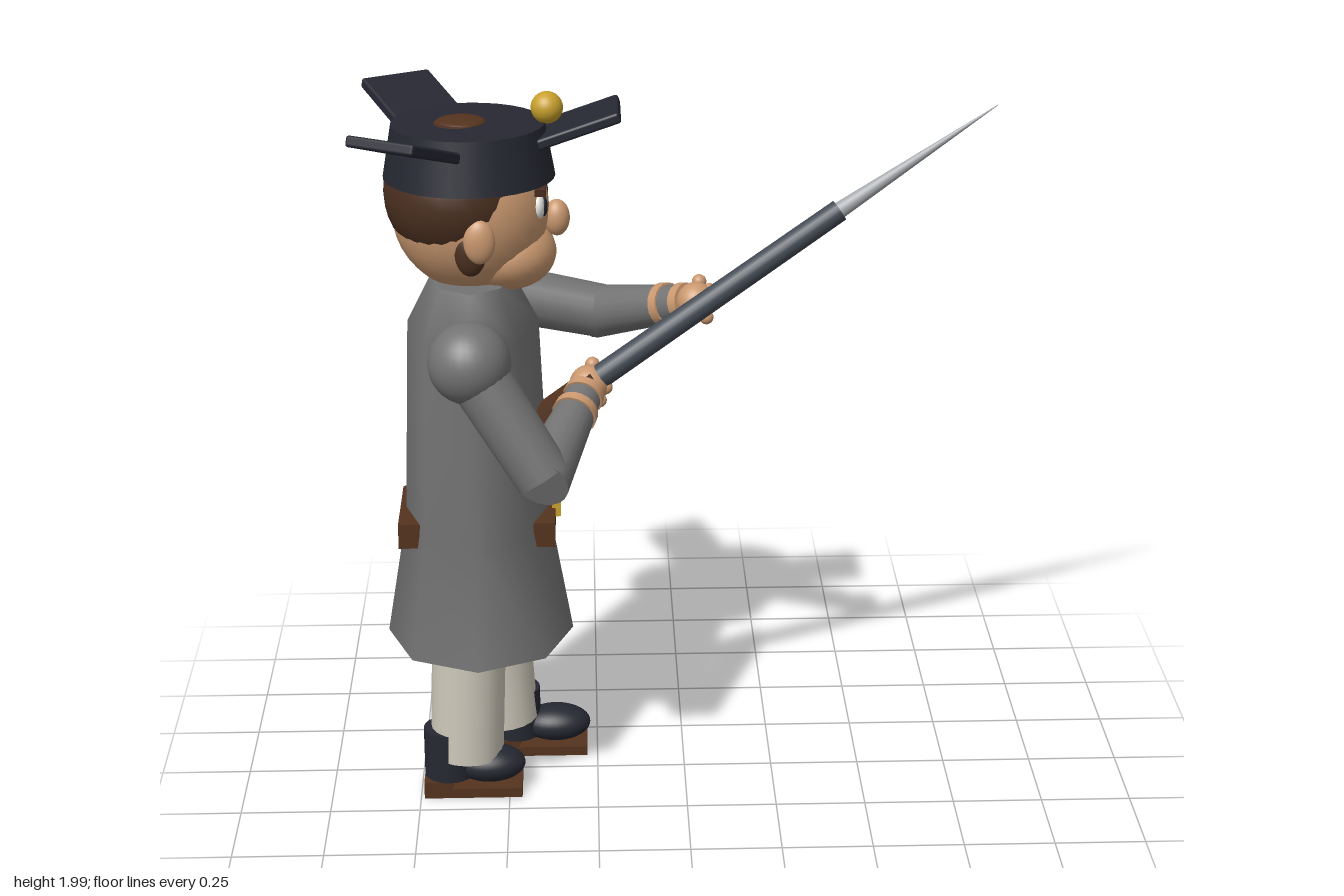
import * as THREE from 'three';
import { mergeVertices } from 'three/addons/utils/BufferGeometryUtils.js';
import { RoundedBoxGeometry } from 'three/addons/geometries/RoundedBoxGeometry.js';

const mat = (name, color) => {
  const m = new THREE.MeshStandardMaterial({ color });
  m.name = name;
  return m;
};

export function createModel() {
  const root = new THREE.Group();
  root.name = 'soldier';
  const coatGrey = mat('coat grey', 0x737373);
  const skin = mat('skin', 0xc9986f);
  const leather = mat('brown leather', 0x54331f);
  const hairBrown = mat('hair brown', 0x4a2f20);
  const navy = mat('dark navy', 0x262832);
  const cream = mat('trouser cream', 0xcdc8ba);
  const brass = mat('brass', 0xc8a02c);
  const gunmetal = mat('gunmetal', 0x434a54);
  const steel = mat('steel', 0xa6a9ad);
  const white = mat('eye white', 0xf0eeea);

  const add = (name, geo, material, pos = [0, 0, 0], parent = root) => {
    const m = new THREE.Mesh(geo, material);
    m.name = name;
    m.position.set(...pos);
    parent.add(m);
    return m;
  };
  const blob = (name, material, pos, r) => {
    const m = add(name, new THREE.SphereGeometry(1, 28, 20), material, pos);
    m.scale.set(...r);
    return m;
  };
  const box = (name, material, pos, size) => add(name, new THREE.BoxGeometry(...size), material, pos);
  const V = (p) => new THREE.Vector3(...p);
  const mix = (a, b, t) => V(a).lerp(V(b), t).toArray();
  // Cylinder or cone running from a to b
  const limb = (name, material, a, b, ra, rb, sides = 20) => {
    const d = V(b).sub(V(a));
    const m = add(name, new THREE.CylinderGeometry(rb, ra, d.length(), sides), material, mix(a, b, 0.5));
    m.quaternion.setFromUnitVectors(new THREE.Vector3(0, 1, 0), d.normalize());
    return m;
  };

  // Coat: rows of [height, half depth in x, half width in z], eight-sided
  const rows = [[0.45, 0.26, 0.295], [0.8, 0.2, 0.26], [1.37, 0.178, 0.285], [1.5, 0.112, 0.185]];
  let coat = new THREE.LatheGeometry(rows.map(([y, , z]) => new THREE.Vector2(z, y)), 8);
  const p = coat.attributes.position;
  for (let i = 0; i < p.count; i++) {
    const [, hx, hz] = rows[i % rows.length];
    p.setX(i, (p.getX(i) * hx) / hz);
  }
  coat.deleteAttribute('normal');
  coat.deleteAttribute('uv');
  coat = mergeVertices(coat, 1e-4);
  coat.computeVertexNormals();
  add('coat', coat, coatGrey, [-0.575, 0, 0]);
  for (const [row, dir] of [[rows[0], 1], [rows[3], -1]]) {
    const cap = add('coatCap', new THREE.CircleGeometry(1, 8), coatGrey, [-0.575, row[0], 0]);
    cap.rotation.x = (dir * Math.PI) / 2;
    cap.scale.set(row[1], row[2], 1);
  }

  // Belt plates and buckle
  box('beltFront', leather, [-0.39, 0.79, -0.007], [0.06, 0.07, 0.29]);
  box('beltBack', leather, [-0.76, 0.79, -0.007], [0.06, 0.07, 0.29]);
  box('buckle', brass, [-0.357, 0.828, -0.007], [0.025, 0.056, 0.07]);

  // Legs and boots: the left foot is back, the right foot forward
  for (const [side, heel, z, legZ, top, low] of [
    ['left', -0.74, 0.117, 0.098, -0.605, -0.62],
    ['right', -0.555, -0.135, -0.117, -0.55, -0.525],
  ]) {
    limb(side + 'Trouser', cream, [low, 0.115, legZ], [top, 0.5, legZ], 0.103, 0.103);
    limb(side + 'BootShaft', navy, [heel + 0.07, 0.055, z], [heel + 0.07, 0.2, z], 0.07, 0.07);
    blob(side + 'BootToe', navy, [heel + 0.185, 0.085, z], [0.1, 0.052, 0.068]);
    box(side + 'Sole', leather, [heel + 0.138, 0.02, z], [0.276, 0.028, 0.13]);
    box(side + 'Heel', leather, [heel + 0.04, 0.031, z], [0.08, 0.05, 0.13]);
  }

  // Head
  blob('head', skin, [-0.575, 1.69, 0], [0.212, 0.225, 0.2]);
  blob('jaw', skin, [-0.475, 1.565, 0], [0.13, 0.1, 0.145]);
  blob('hair', hairBrown, [-0.605, 1.735, 0], [0.2, 0.195, 0.215]);
  blob('nose', skin, [-0.343, 1.655, -0.008], [0.035, 0.05, 0.034]);
  for (const s of [1, -1]) {
    blob('ear', skin, [-0.545, 1.65, s * 0.198], [0.042, 0.06, 0.026]);
    blob('sideburn', hairBrown, [-0.57, 1.615, s * 0.178], [0.042, 0.065, 0.026]);
    blob('eye', white, [-0.392, 1.71, s * 0.075], [0.02, 0.036, 0.03]);
    blob('pupil', navy, [-0.376, 1.71, s * 0.073], [0.01, 0.027, 0.019]);
    const brow = box('eyebrow', hairBrown, [-0.385, 1.76, s * 0.075], [0.03, 0.02, 0.075]);
    brow.rotation.x = s * 0.1;
  }

  // Hat: crown, button, three upturned flaps and pompon
  const hat = new THREE.Group();
  hat.name = 'hat';
  hat.position.set(-0.583, 0, -0.01);
  root.add(hat);
  add('crown', new THREE.CylinderGeometry(0.205, 0.23, 0.145, 32), navy, [0.008, 1.848, 0.005], hat);
  const button = add('crownButton', new THREE.SphereGeometry(1, 24, 12), leather, [-0.012, 1.92, 0], hat);
  button.scale.set(0.068, 0.014, 0.068);
  for (let i = 0; i < 3; i++) {
    const arm = new THREE.Group();
    arm.name = 'brimFlap';
    arm.rotation.y = (i * Math.PI * 2) / 3;
    hat.add(arm);
    const flap = add('flapPlate', new RoundedBoxGeometry(0.245, 0.03, 0.205, 2, 0.008), navy, [0.295, 1.914, 0], arm);
    flap.rotation.z = 0.33;
  }
  blob('pompon', brass, [-0.365, 1.957, -0.012], [0.043, 0.043, 0.043]);

  // Arms: shoulder ball, sleeve, cuff bands and fist
  for (const [side, shoulder, elbow, hand] of [
    ['left', [-0.575, 1.355, 0.312], [-0.385, 1.055, 0.375], [-0.262, 1.19, 0.03]],
    ['right', [-0.575, 1.35, -0.342], [-0.225, 1.275, -0.35], [0.035, 1.382, -0.1]],
  ]) {
    blob(side + 'Shoulder', coatGrey, shoulder, [0.11, 0.11, 0.11]);
    limb(side + 'UpperSleeve', coatGrey, shoulder, elbow, 0.083, 0.076);
    limb(side + 'LowerSleeve', coatGrey, mix(elbow, hand, -0.06), mix(elbow, hand, 0.88), 0.076, 0.05);
    for (const t of [0.66, 0.85]) {
      limb(side + 'CuffBand', skin, mix(elbow, hand, t), mix(elbow, hand, t + 0.07), 0.062 - (t - 0.66) * 0.03, 0.06 - (t - 0.66) * 0.03);
    }
    blob(side + 'Fist', skin, hand, [0.054, 0.054, 0.054]);
    for (let i = 0; i < 4; i++) {
      const a = -0.9 + i * 0.75;
      blob(side + 'Finger', skin,
        [hand[0] + 0.045 * Math.cos(a), hand[1] + 0.05 * Math.sin(a), hand[2] + 0.02 - i * 0.016],
        [0.02, 0.02, 0.02]);
    }
  }

  // Musket: stock, barrel and bayonet
  const butt = [-0.42, 1.085, 0.06], breech = [-0.25, 1.2, 0.033], muzzle = [0.425, 1.645, -0.08], tip = [0.858, 1.917, -0.153];
  limb('barrel', gunmetal, breech, muzzle, 0.034, 0.031);
  limb('bayonet', steel, muzzle, tip, 0.023, 0.001);
  const stock = box('stock', leather, mix(butt, breech, 0.55), [0.06, 0.2, 0.085]);
  stock.quaternion.setFromUnitVectors(new THREE.Vector3(0, 1, 0), V(breech).sub(V(butt)).normalize());

  return root;
}
